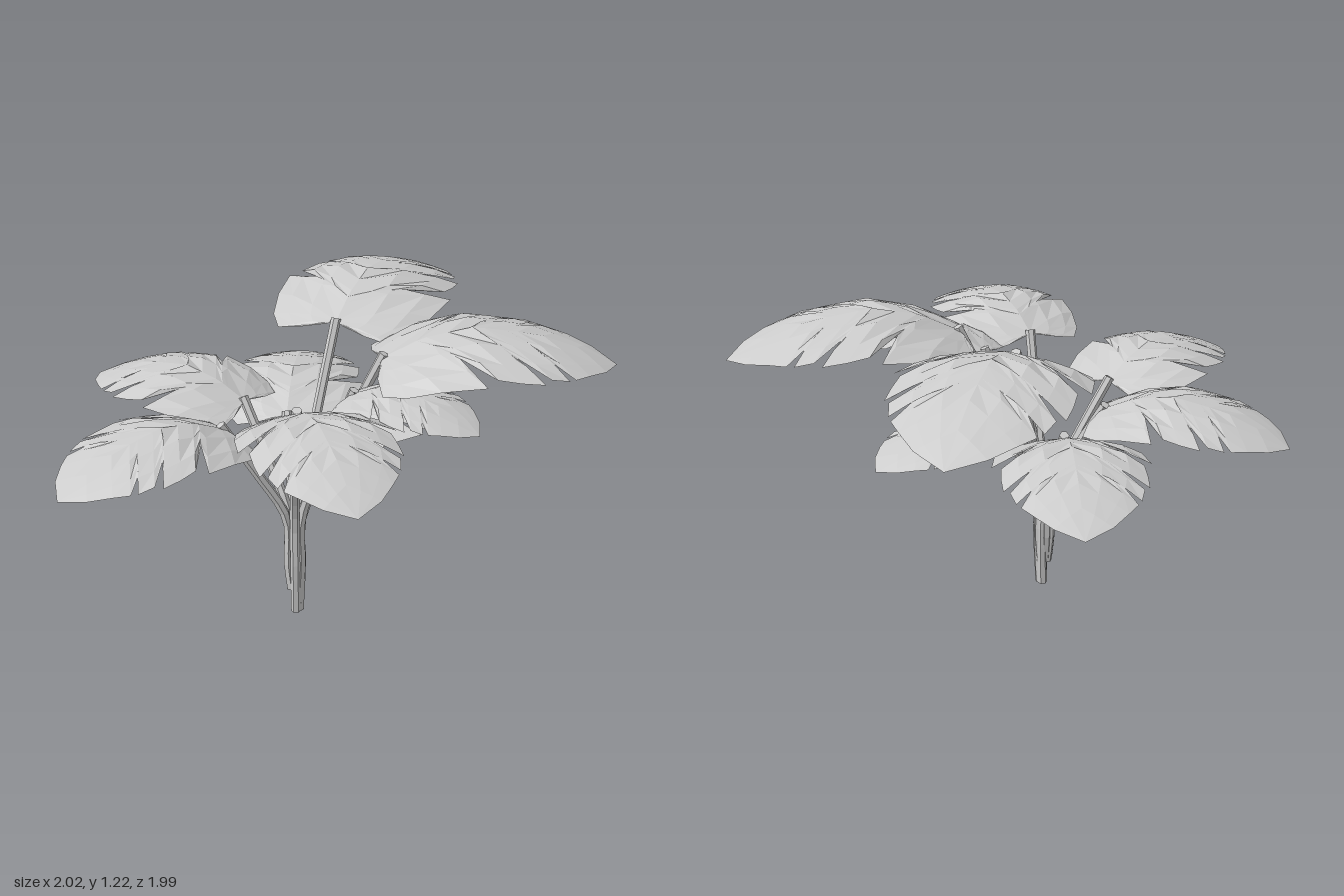
import * as THREE from 'three';

const material = new THREE.MeshStandardMaterial({ color: 0xcccccc, flatShading: true, side: THREE.DoubleSide });

// Half outline of a unit-length leaf, base to tip: [along, across]; low "across" values are slits
const outline = [
  [-0.02, 0.04], [-0.04, 0.15], [-0.03, 0.27], [0.06, 0.335], [0.2, 0.375], [0.38, 0.40],
  [0.29, 0.22], [0.425, 0.355], [0.52, 0.36], [0.62, 0.355],
  [0.5, 0.2], [0.65, 0.325], [0.73, 0.30],
  [0.67, 0.22], [0.76, 0.28], [0.83, 0.225], [0.92, 0.14], [1, 0],
];
// Height of the midrib: [along, height]
const rib = [[-0.1, -0.05], [0, 0], [0.16, 0.08], [0.37, 0.125], [0.65, 0.085], [0.85, 0.01], [1, -0.065]];

function leafHeight(u, v) {
  let i = 1;
  while (i < rib.length - 1 && u > rib[i][0]) i++;
  const [a, b] = [rib[i - 1], rib[i]];
  return a[1] + (b[1] - a[1]) * (u - a[0]) / (b[0] - a[0]) - 0.62 * v * v;
}

// Both halves are lofted along slanted veins running from the midrib to the outline
function makeLeafGeometry() {
  const pos = [];
  const rings = [0, 0.4, 0.75, 1];
  for (const side of [1, -1]) {
    const veins = outline.map(([u, v]) => {
      const root = Math.max(0, u - 0.7 * v);
      return rings.map((t) => {
        const a = root + (u - root) * t, c = v * t;
        return [side * c, leafHeight(a, c), a];
      });
    });
    const tri = (a, b, c) => pos.push(...a, ...(side > 0 ? [...b, ...c] : [...c, ...b]));
    for (let i = 0; i < veins.length - 1; i++) {
      for (let j = 0; j < rings.length - 1; j++) {
        const p = veins[i], q = veins[i + 1];
        tri(p[j], q[j], q[j + 1]);
        tri(p[j], q[j + 1], p[j + 1]);
      }
    }
  }
  const g = new THREE.BufferGeometry();
  g.setAttribute('position', new THREE.Float32BufferAttribute(pos, 3));
  g.computeVertexNormals();
  return g;
}

// Capped six-sided stalk following a curve
function makeStem(points, radius) {
  const stem = new THREE.Group();
  stem.name = 'stem';
  const curve = new THREE.CatmullRomCurve3(points, false, 'centripetal');
  stem.add(new THREE.Mesh(new THREE.TubeGeometry(curve, 14, radius, 6), material));
  for (const t of [0, 1]) {
    const cap = new THREE.Mesh(new THREE.CircleGeometry(radius, 6), material);
    const dir = curve.getTangent(t).multiplyScalar(t ? 1 : -1);
    cap.position.copy(curve.getPoint(t));
    cap.quaternion.setFromUnitVectors(new THREE.Vector3(0, 0, 1), dir);
    cap.name = 'stemEnd';
    stem.add(cap);
  }
  stem.children[0].name = 'stalk';
  return stem;
}

export function createModel() {
  const plant = new THREE.Group();
  plant.name = 'plant';
  const leafGeometry = makeLeafGeometry();
  const trunk = new THREE.Vector3(-0.195, 0, 0.07);

  // Each leaf: stem end, tip (x, z), height at which its stalk starts
  const leaves = [
    { base: [-0.02, 1.11, -0.22], tip: [0.35, -1.0], start: 0 },
    { base: [0.14, 1.1, 0.1], tip: [1.0, 0.08], start: 0 },
    { base: [-0.18, 0.985, 0.32], tip: [0.0, 0.99], start: 0 },
    { base: [-0.46, 0.84, 0.13], tip: [-1.0, 0.58], start: 0.1 },
    { base: [-0.38, 0.835, -0.12], tip: [-0.97, -0.5], start: 0.1 },
    { base: [-0.215, 0.745, -0.17], tip: [-0.13, -0.88], start: 0.12 },
    { base: [0.01, 0.75, -0.04], tip: [0.5, -0.27], start: 0.1 },
    { base: [0.03, 0.985, 0.16], tip: [0.45, 0.46], start: 0.04 },
  ];

  for (const { base, tip, start } of leaves) {
    const end = new THREE.Vector3(...base);
    const dx = tip[0] - end.x, dz = tip[1] - end.z;

    const leaf = new THREE.Mesh(leafGeometry, material);
    leaf.name = 'leaf';
    leaf.position.copy(end);
    leaf.rotation.y = Math.atan2(dx, dz);
    leaf.scale.setScalar(Math.hypot(dx, dz));
    plant.add(leaf);

    // Stalks bundle into the trunk, then fan out towards their leaves
    const out = new THREE.Vector3(end.x - trunk.x, 0, end.z - trunk.z).normalize();
    const at = (r, y) => trunk.clone().addScaledVector(out, r).setY(y);
    const elbow = at(0.03, 0.42);
    const mid = elbow.clone().lerp(end, 0.5).addScaledVector(out, -0.012);
    plant.add(makeStem([at(0.015, start), at(0.027, 0.22), elbow, mid, end.clone().setY(end.y + 0.012)], 0.019));
  }
  return plant;
}
